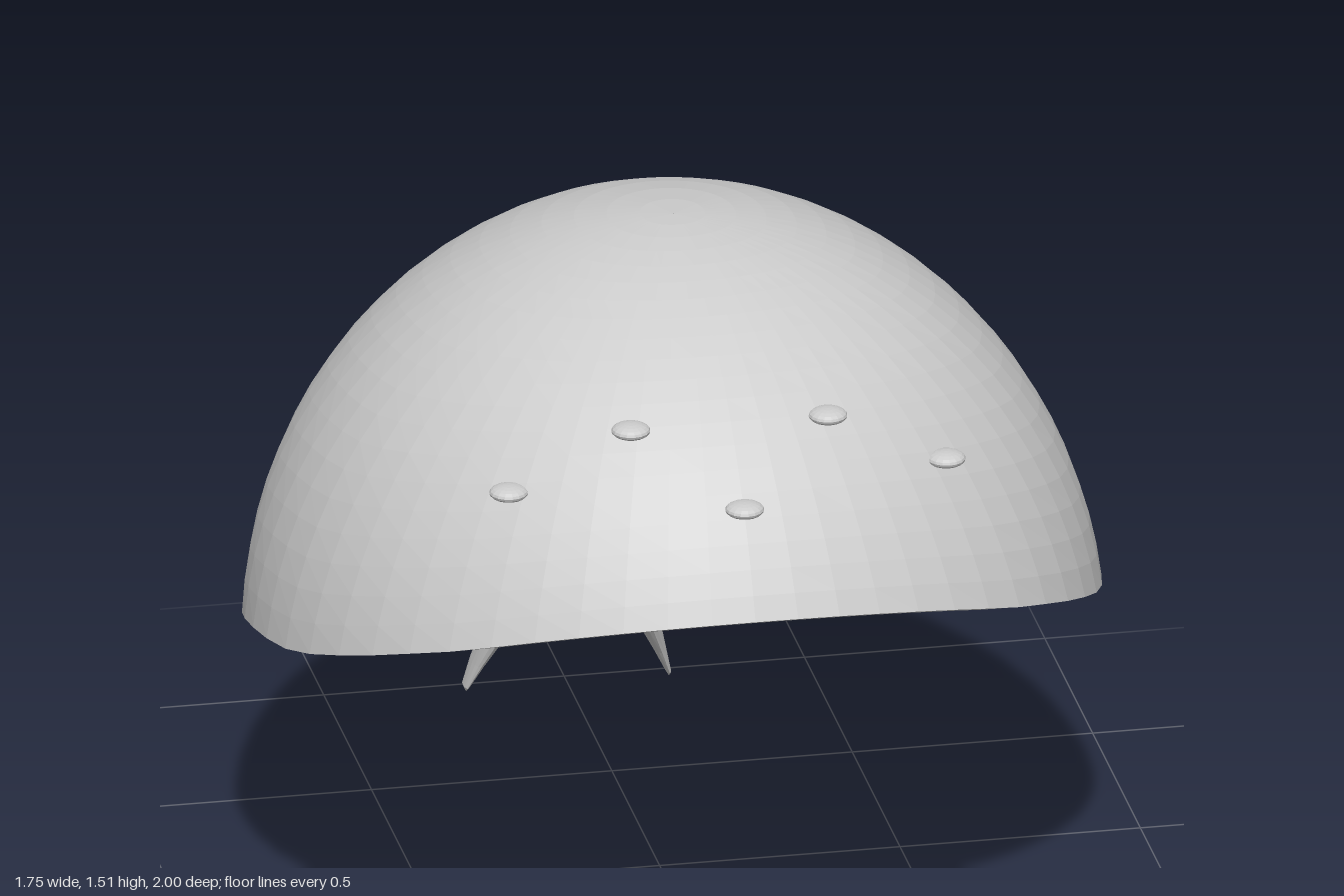
import * as THREE from 'three';

const cloth = new THREE.MeshStandardMaterial({ color: 0xcccccc, flatShading: true });
cloth.name = 'light grey cloth';

// Skins closed rings of points, listed from top to bottom
function skin(rings) {
  const n = rings[0].length;
  const index = [];
  for (let i = 0; i < rings.length - 1; i++) {
    for (let j = 0; j < n; j++) {
      const k = (j + 1) % n;
      const a = i * n + j, b = (i + 1) * n + j, c = (i + 1) * n + k, d = i * n + k;
      index.push(a, b, c, a, c, d);
    }
  }
  const geo = new THREE.BufferGeometry();
  geo.setAttribute('position', new THREE.Float32BufferAttribute(rings.flat(2), 3));
  geo.setIndex(index);
  geo.computeVertexNormals();
  return geo;
}

function add(parent, name, geo) {
  const mesh = new THREE.Mesh(geo, cloth);
  mesh.name = name;
  parent.add(mesh);
  return mesh;
}

// Height of the tilted opening at depth z
const RIM = [[-0.75, 0.33], [-0.6, 0.39], [-0.4, 0.48], [-0.2, 0.56], [0, 0.63],
  [0.15, 0.665], [0.4, 0.71], [0.6, 0.78], [0.8, 0.86], [1, 0.96]];
function rimHeight(z) {
  let i = 0;
  while (i < RIM.length - 2 && z > RIM[i + 1][0]) i++;
  const [z0, y0] = RIM[i], [z1, y1] = RIM[i + 1];
  return y0 + (y1 - y0) * (z - z0) / (z1 - z0);
}

// Ellipsoid point at polar angle t and azimuth p, inset by the cloth thickness
function domePoint(t, p, inset) {
  const r = 0.94 - inset;
  return [(0.88 - inset) * Math.sin(t) * Math.sin(p), 0.57 + r * Math.cos(t),
    0.15 + r * Math.sin(t) * Math.cos(p)];
}

// Polar angle where the ellipsoid meets the opening
function rimAngle(p, inset) {
  let lo = 0, hi = Math.PI;
  for (let i = 0; i < 40; i++) {
    const mid = (lo + hi) / 2;
    const [, y, z] = domePoint(mid, p, inset);
    if (y > rimHeight(z)) lo = mid; else hi = mid;
  }
  return lo;
}

// Outer surface down to the rim, then the lining back up to the crown
function domeGeometry() {
  const around = 56, rows = 20, thickness = 0.025;
  const layer = (inset) => {
    const rings = [];
    for (let i = 0; i <= rows; i++) {
      const ring = [];
      for (let j = 0; j < around; j++) {
        const p = (j / around) * Math.PI * 2;
        const t = rimAngle(p, inset) * Math.max(i / rows, 0.0005);
        ring.push(domePoint(t, p, inset));
      }
      rings.push(ring);
    }
    return rings;
  };
  return skin([...layer(0), ...layer(thickness).reverse()]);
}

// Flattened, curved tail: y, centre x, centre z, half width x, half width z
const TAIL = [
  [0.42, 0.02, -0.83, 0.03, 0.05],
  [0.34, 0.06, -0.857, 0.028, 0.068],
  [0.25, 0.108, -0.885, 0.032, 0.064],
  [0.15, 0.157, -0.922, 0.025, 0.052],
  [0.07, 0.188, -0.957, 0.014, 0.04],
  [0.01, 0.21, -0.973, 0.006, 0.023],
  [0.0, 0.211, -0.973, 0.001, 0.01],
];
function tailGeometry(side) {
  return skin(TAIL.map(([y, x, z, rx, rz]) => {
    const ring = [];
    for (let j = 0; j < 14; j++) {
      const a = (j / 14) * Math.PI * 2;
      ring.push([side * x + rx * Math.sin(a), y, z + rz * Math.cos(a)]);
    }
    return ring;
  }));
}

export function createModel() {
  const group = new THREE.Group();
  group.name = 'headscarf';

  add(group, 'dome', domeGeometry());

  // Flat round studs above the brow
  const studs = [[0, 1.165, 0.89], [0.455, 1.165, 0.71], [-0.455, 1.165, 0.71],
    [0.205, 1.29, 0.73], [-0.205, 1.29, 0.73]];
  const studGeo = new THREE.SphereGeometry(0.04, 16, 10).scale(1, 0.4, 1);
  for (const s of studs) add(group, 'stud', studGeo).position.set(...s);

  // Knot and its two tails at the back
  const knot = add(group, 'knot', new THREE.SphereGeometry(0.085, 20, 14).scale(1.4, 1, 1));
  knot.position.set(0, 0.443, -0.84);
  add(group, 'leftTail', tailGeometry(1));
  add(group, 'rightTail', tailGeometry(-1));

  return group;
}
